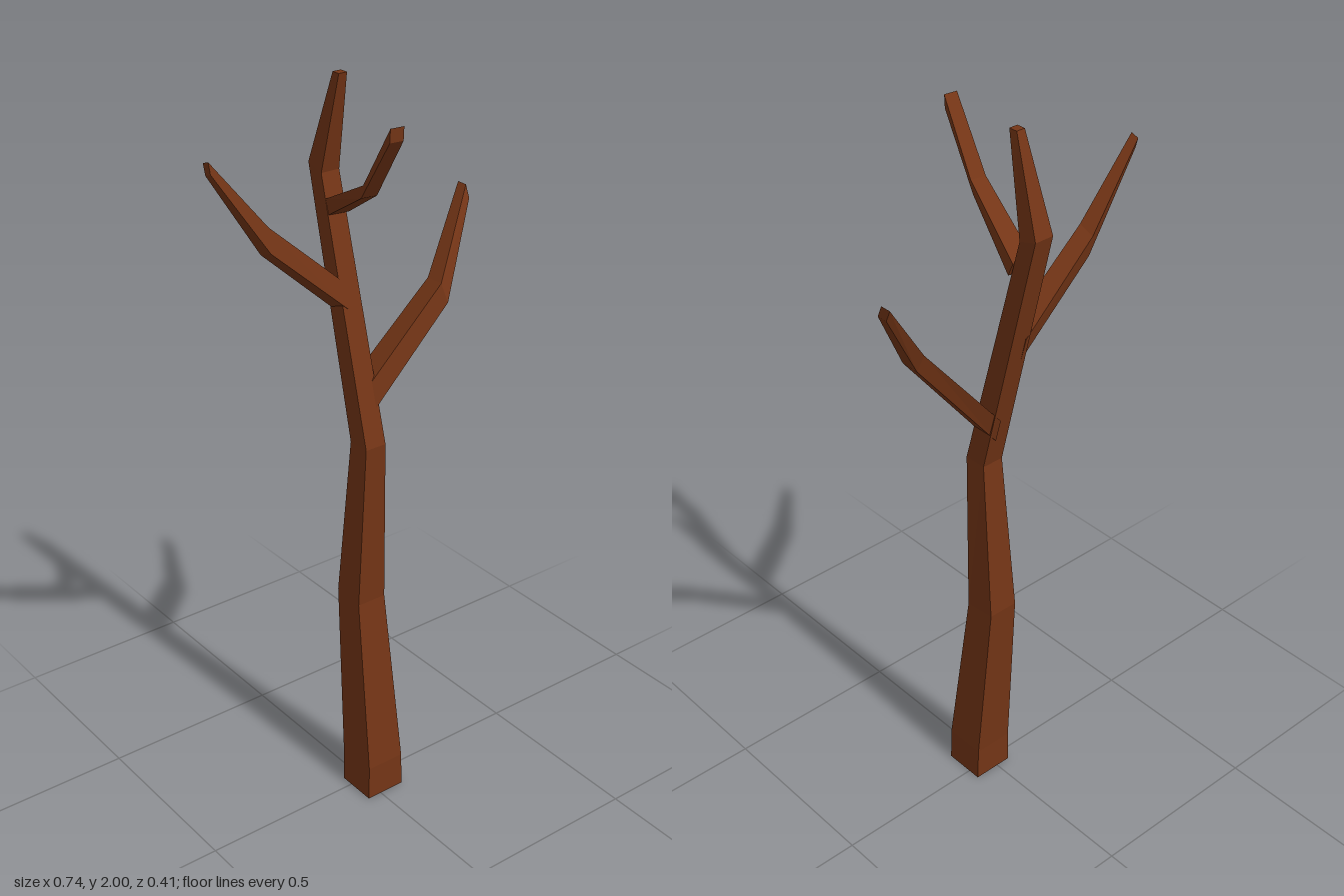
import * as THREE from 'three';

const bark = new THREE.MeshStandardMaterial({ color: 0x743516, flatShading: true });

// Four-sided limb lofted through rings of [centre, half-width vector, half-height vector].
function limb(name, rings) {
  const v = (p) => new THREE.Vector3(...p);
  const loops = rings.map(([c, a, b]) =>
    [[1, 1], [-1, 1], [-1, -1], [1, -1]].map(([s, t]) =>
      v(c).addScaledVector(v(a), s).addScaledVector(v(b), t)));
  const [c0, a0, b0] = rings[0];
  const along = v(rings[1][0]).sub(v(c0));
  // Corners must run counter-clockwise about the limb's direction.
  if (v(a0).cross(v(b0)).dot(along) < 0) loops.forEach((l) => l.reverse());

  const pos = [];
  const quad = (p, q, r, s) => [p, q, r, p, r, s].forEach((k) => pos.push(k.x, k.y, k.z));
  for (let i = 0; i < loops.length - 1; i++) {
    const lo = loops[i], hi = loops[i + 1];
    for (let j = 0; j < 4; j++) {
      const k = (j + 1) % 4;
      quad(lo[j], lo[k], hi[k], hi[j]);
    }
  }
  quad(...[...loops[0]].reverse());
  quad(...loops[loops.length - 1]);

  const geo = new THREE.BufferGeometry();
  geo.setAttribute('position', new THREE.Float32BufferAttribute(pos, 3));
  geo.computeVertexNormals();
  const mesh = new THREE.Mesh(geo, bark);
  mesh.name = name;
  return mesh;
}

export function createModel() {
  const tree = new THREE.Group();
  tree.name = 'bareTree';

  // Crooked trunk: leans back near the top, then forward at the tip
  tree.add(limb('trunk', [
    [[0.016, 0, 0.022], [0.058, 0, 0], [0, 0, 0.058]],
    [[0.016, 0.1, 0.021], [0.056, 0, 0], [0, 0, 0.058]],
    [[0.015, 0.605, -0.029], [0.043, 0, 0], [0, -0.005, 0.045]],
    [[0.016, 1.067, -0.001], [0.031, 0, 0], [0, 0, 0.032]],
    [[0.016, 1.755, -0.178], [0.027, 0, 0], [0, -0.008, 0.026]],
    [[0.016, 2, -0.111], [0.012, 0, 0], [0, 0, 0.012]],
  ]));

  // Lowest branch, toward the model's left
  tree.add(limb('leftBranch', [
    [[0.03, 1.187, -0.037], [0, 0, 0.032], [0, 0.034, -0.009]],
    [[0.226, 1.437, 0.012], [0, 0, 0.026], [-0.005, 0.024, -0.008]],
    [[0.367, 1.648, -0.063], [0, 0, 0.015], [0, 0.016, -0.007]],
  ]));

  // Middle branch, toward the model's right
  tree.add(limb('rightBranch', [
    [[0, 1.443, -0.098], [0, 0.01, 0.026], [0, 0.033, -0.009]],
    [[-0.218, 1.638, -0.098], [0, 0.008, 0.022], [0.003, 0.03, -0.008]],
    [[-0.37, 1.848, -0.098], [0, 0.004, 0.011], [0, 0.014, -0.004]],
  ]));

  // Upper branch, reaching forward
  tree.add(limb('frontBranch', [
    [[0.018, 1.665, -0.13], [0.027, 0, 0.005], [0, 0.018, -0.008]],
    [[-0.041, 1.775, 0.078], [0.021, 0, 0.003], [0, 0.017, 0.004]],
    [[-0.061, 1.943, 0.2], [0.018, 0, 0.002], [0, 0.017, 0.001]],
  ]));

  return tree;
}
